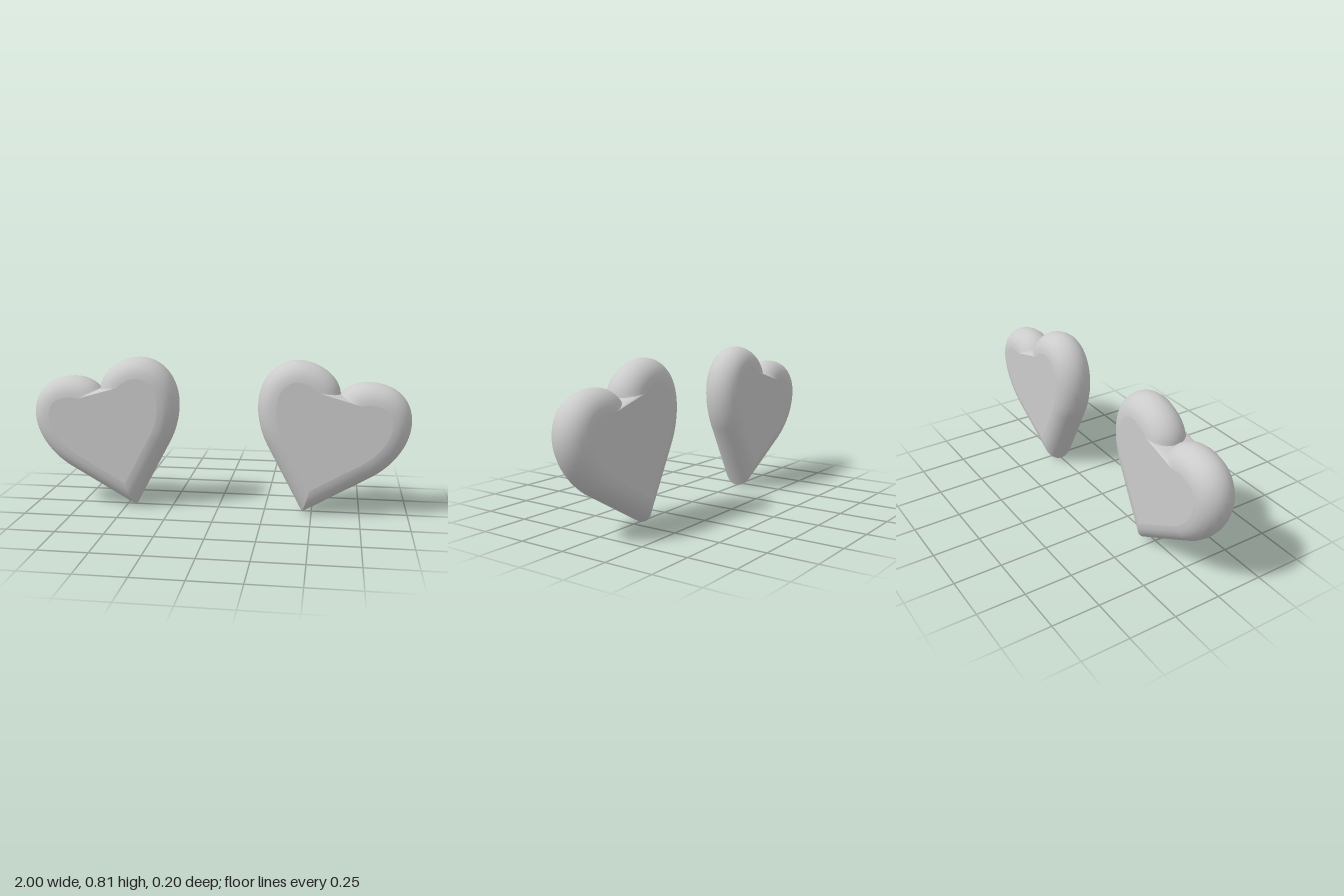
import * as THREE from 'three';
import { mergeGeometries } from 'three/addons/utils/BufferGeometryUtils.js';

const R = 0.102;        // edge rounding radius = half thickness
const ROWS = 12;        // steps around the rounded edge
const NOTCH = 0.666;    // height of the notch above the tip
const v2 = (x, y) => new THREE.Vector2(x, y);

// Right half of the outline, clockwise from notch to tip: point + outward normal
function halfOutline() {
  const lobe = new THREE.CubicBezierCurve(v2(0, NOTCH), v2(0.02, 0.722), v2(0.09, 0.777), v2(0.2, 0.777));
  const shoulder = new THREE.CubicBezierCurve(v2(0.2, 0.777), v2(0.32, 0.777), v2(0.4, 0.68), v2(0.4, 0.56));
  const flank = new THREE.CubicBezierCurve(v2(0.4, 0.56), v2(0.4, 0.46), v2(0.345, 0.355), v2(0.28, 0.29));
  const side = new THREE.LineCurve(v2(0.28, 0.29), v2(0, 0));
  const out = [];
  [[lobe, 12], [shoulder, 12], [flank, 10], [side, 3]].forEach(([curve, n], c) => {
    for (let k = c ? 1 : 0; k <= n; k++) {
      const t = curve.getTangent(k / n);
      out.push({ p: curve.getPoint(k / n), n: v2(-t.y, t.x), inLobe: c === 0 });
    }
  });
  return out;
}

// Move an outline point inward by d; the tip is mitred, the notch stays level
function inset({ p, n, inLobe }, d, isTip) {
  if (isTip) return v2(0, d / n.x * 1);
  const q = p.clone().addScaledVector(n, -d);
  if (inLobe) q.y = Math.max(q.y, NOTCH - 0.14 * d);
  return q;
}

// Surface through neighbouring columns of points
function grid(columns) {
  const pos = [], idx = [], m = ROWS + 1;
  columns.forEach(col => col.forEach(v => pos.push(v.x, v.y, v.z)));
  for (let i = 0; i < columns.length - 1; i++) {
    for (let j = 0; j < ROWS; j++) {
      const a = i * m + j, b = a + 1, c = a + m, d = c + 1;
      idx.push(a, b, c, b, d, c);
    }
  }
  const g = new THREE.BufferGeometry();
  g.setAttribute('position', new THREE.Float32BufferAttribute(pos, 3));
  g.setIndex(idx);
  g.computeVertexNormals();
  return g;
}

function heartGeometry() {
  const half = halfOutline(), last = half.length - 1;
  // The tip's mitre runs straight up the axis
  const tipRise = -1 / half[last].n.y;
  const place = (o, i, d) => (i === last ? v2(0, d * tipRise) : inset(o, d, false));

  // Rounded edge of both halves
  const right = half.map((o, i) => Array.from({ length: ROWS + 1 }, (_, j) => {
    const a = (j / ROWS - 0.5) * Math.PI;
    const q = place(o, i, R * (1 - Math.cos(a)));
    return new THREE.Vector3(q.x, q.y, R * Math.sin(a));
  }));
  const left = right.map(col => col.map(v => new THREE.Vector3(-v.x, v.y, v.z))).reverse();

  // Flat faces, front and back
  const rim = [...right, ...left.slice(1)].map(col => v2(col[ROWS].x, col[ROWS].y));
  const front = new THREE.ShapeGeometry(new THREE.Shape(rim));
  front.deleteAttribute('uv');
  front.translate(0, 0, R);
  const back = front.clone().rotateY(Math.PI);

  // Floor of the notch, between the two lobes
  const floor = grid([left[left.length - 1], right[0]]);
  return mergeGeometries([grid(right), grid(left), floor, front, back]);
}

export function createModel() {
  const group = new THREE.Group();
  group.name = 'heartPair';
  const material = new THREE.MeshStandardMaterial({ color: 0xcccccc });
  const geometry = heartGeometry();
  // Two hearts leaning away from each other
  for (const s of [1, -1]) {
    const heart = new THREE.Mesh(geometry, material);
    heart.name = s > 0 ? 'leftHeart' : 'rightHeart';
    heart.position.set(0.45 * s, 0.003, 0);
    heart.rotation.z = -s * THREE.MathUtils.degToRad(16.1);
    group.add(heart);
  }
  return group;
}
